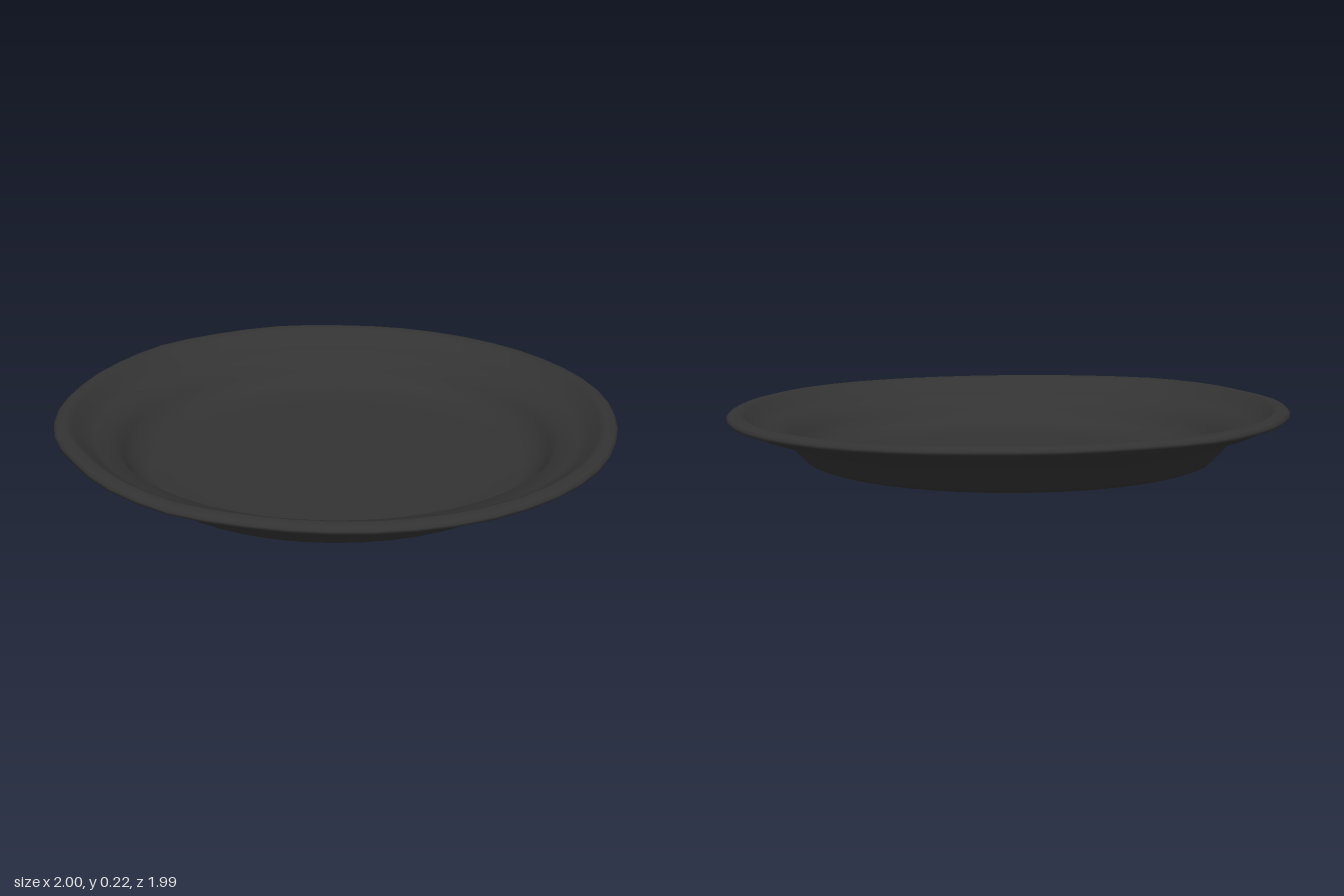
import * as THREE from 'three';
import { mergeVertices } from 'three/addons/utils/BufferGeometryUtils.js';

// Slightly uneven rim radius every 15 degrees, from +z round towards +x
const RIM = [0.99, 1, 0.986, 0.986, 0.99, 0.995, 0.995, 0.99, 0.98, 0.98, 0.99, 0.995,
  1, 1, 0.995, 0.986, 0.995, 0.99, 1, 0.984, 0.978, 0.983, 0.985, 0.975];

function rimRadius(angle) {
  const t = ((angle / (2 * Math.PI)) * RIM.length + RIM.length) % RIM.length;
  const i = Math.floor(t);
  return THREE.MathUtils.lerp(RIM[i % RIM.length], RIM[(i + 1) % RIM.length], t - i);
}

export function createModel() {
  const group = new THREE.Group();
  group.name = 'plate';

  // Closed section: underside outwards, round the lip, then back over the top
  const profile = [
    [0, 0], [0.35, 0.003], [0.6, 0.009], [0.68, 0.013], [0.715, 0.025], [0.755, 0.065],
    [0.795, 0.116], [0.86, 0.127], [0.91, 0.145], [0.94, 0.17], [0.955, 0.182],
    [0.985, 0.174], [0.998, 0.18], [1, 0.19], [0.99, 0.199], [0.96, 0.206],
    [0.935, 0.197], [0.9, 0.165], [0.855, 0.146], [0.785, 0.135],
    [0.75, 0.088], [0.71, 0.046], [0.66, 0.029], [0.55, 0.023], [0.3, 0.018], [0, 0.016],
  ].map(([x, y]) => new THREE.Vector2(x, y));

  let geometry = new THREE.LatheGeometry(profile, 48);
  const pos = geometry.attributes.position;

  // Hand-made wobble: uneven outline, and a rim a little lower at the back
  for (let i = 0; i < pos.count; i++) {
    const x = pos.getX(i), y = pos.getY(i), z = pos.getZ(i);
    const r = Math.hypot(x, z);
    const angle = Math.atan2(x, z);
    const w = THREE.MathUtils.smoothstep(r, 0.76, 0.96);
    const s = THREE.MathUtils.lerp(1, rimRadius(angle), w);
    const lift = w * (0.006 * Math.cos(angle) - 0.003 * Math.sin(angle) + 0.003 * Math.cos(3 * angle));
    pos.setXYZ(i, x * s, y + lift, z * s);
  }

  // Weld the seam so the shading stays smooth
  geometry.deleteAttribute('normal');
  geometry.deleteAttribute('uv');
  geometry = mergeVertices(geometry, 1e-4);
  geometry.computeVertexNormals();

  const dish = new THREE.Mesh(geometry, new THREE.MeshStandardMaterial({ color: 0x333333 }));
  dish.name = 'dish';
  group.add(dish);
  return group;
}
